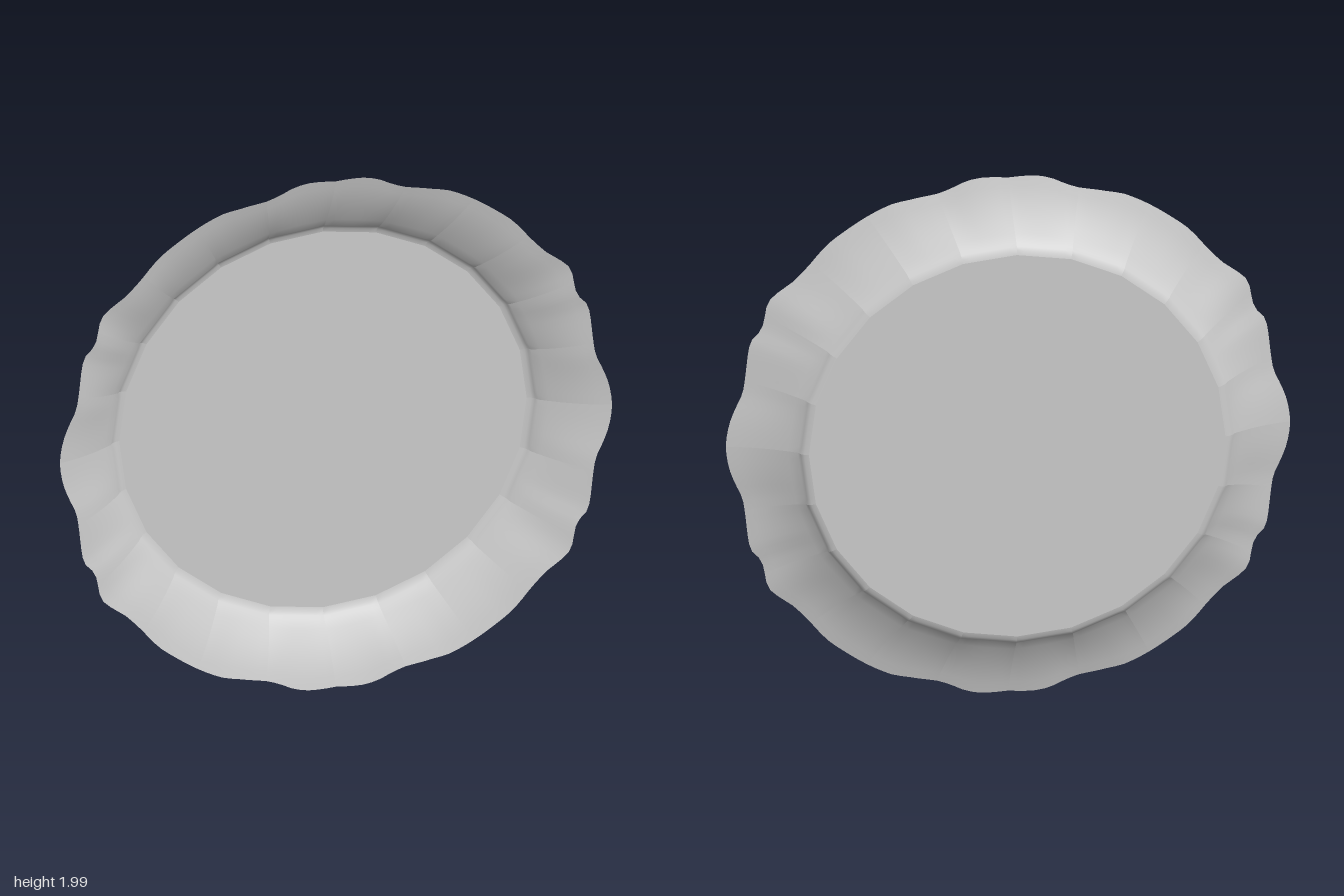
import * as THREE from 'three';

const SIDES = 24;           // facets around the plate
const SUB = 8;              // rim samples per facet
const CENTRE = new THREE.Vector2(-0.02, 1.005); // centre of the well

// Scalloped rim radius every 3 degrees over one quarter, mirrored to the rest
const QUARTER = [
  1, 0.996, 0.988, 0.975, 0.963, 0.966, 0.975, 0.987, 0.996, 0.982, 0.995,
  1.013, 1.004, 0.988, 0.984, 0.986, 0.993, 0.998, 0.998, 0.999, 1,
  1, 0.998, 0.988, 0.981, 0.975, 0.981, 0.995, 1.001, 0.998, 0.993,
];
const rimCurve = new THREE.SplineCurve(QUARTER.map((r, i) => new THREE.Vector2(i, r)));

function rimPoint(a) {
  const q = Math.atan2(Math.abs(Math.sin(a)), Math.abs(Math.cos(a)));
  const r = rimCurve.getPoint(Math.min(1, q / (Math.PI / 2))).y;
  return new THREE.Vector2(Math.cos(a) * r, 1 + Math.sin(a) * r);
}

// Point on the 24-sided well outline
function wellPoint(a, radius) {
  const step = (Math.PI * 2) / SIDES;
  const local = a - Math.floor(a / step + 1e-6) * step - step / 2;
  const r = (radius * Math.cos(step / 2)) / Math.cos(local);
  return new THREE.Vector2(Math.cos(a) * r, Math.sin(a) * r).add(CENTRE);
}

// Rounded corner [radius, z], then flared wall [fraction towards the rim, z]
const CORNER = [[0.738, -0.058], [0.754, -0.054], [0.766, -0.046]];
const FLARE = [[0, -0.034], [0.14, -0.016], [0.3, 0.003], [0.48, 0.021],
  [0.66, 0.036], [0.83, 0.047], [1, 0.056]];

function section(a) {
  const edge = rimPoint(a), base = wellPoint(a, 0.774);
  return [
    ...CORNER.map(([r, z]) => { const p = wellPoint(a, r); return [p.x, p.y, z]; }),
    ...FLARE.map(([t, z]) => { const p = base.clone().lerp(edge, t); return [p.x, p.y, z]; }),
  ];
}

// Each facet has its own vertices, so it is smooth inside and creased at its sides
function flaredRim() {
  const pos = [], index = [], rows = CORNER.length + FLARE.length;
  for (let k = 0; k < SIDES; k++) {
    const start = pos.length / 3;
    for (let j = 0; j <= SUB; j++) {
      section(((k + j / SUB) / SIDES) * Math.PI * 2).forEach((p) => pos.push(...p));
    }
    for (let j = 0; j < SUB; j++) {
      for (let i = 0; i < rows - 1; i++) {
        const a = start + j * rows + i, b = a + rows;
        index.push(a, a + 1, b, b, a + 1, b + 1);
      }
    }
  }
  const g = new THREE.BufferGeometry();
  g.setAttribute('position', new THREE.Float32BufferAttribute(pos, 3));
  g.setIndex(index);
  g.computeVertexNormals();
  return g;
}

export function createModel() {
  const group = new THREE.Group();
  group.name = 'scallopedPlate';
  const material = new THREE.MeshStandardMaterial({ color: 0xcccccc, side: THREE.DoubleSide });

  // Flat well of the plate
  const well = new THREE.Mesh(new THREE.CircleGeometry(CORNER[0][0], SIDES), material);
  well.name = 'well';
  well.position.set(CENTRE.x, CENTRE.y, CORNER[0][1]);

  // Flared wall ending in the scalloped edge
  const rim = new THREE.Mesh(flaredRim(), material);
  rim.name = 'scallopedRim';

  group.add(well, rim);
  return group;
}
